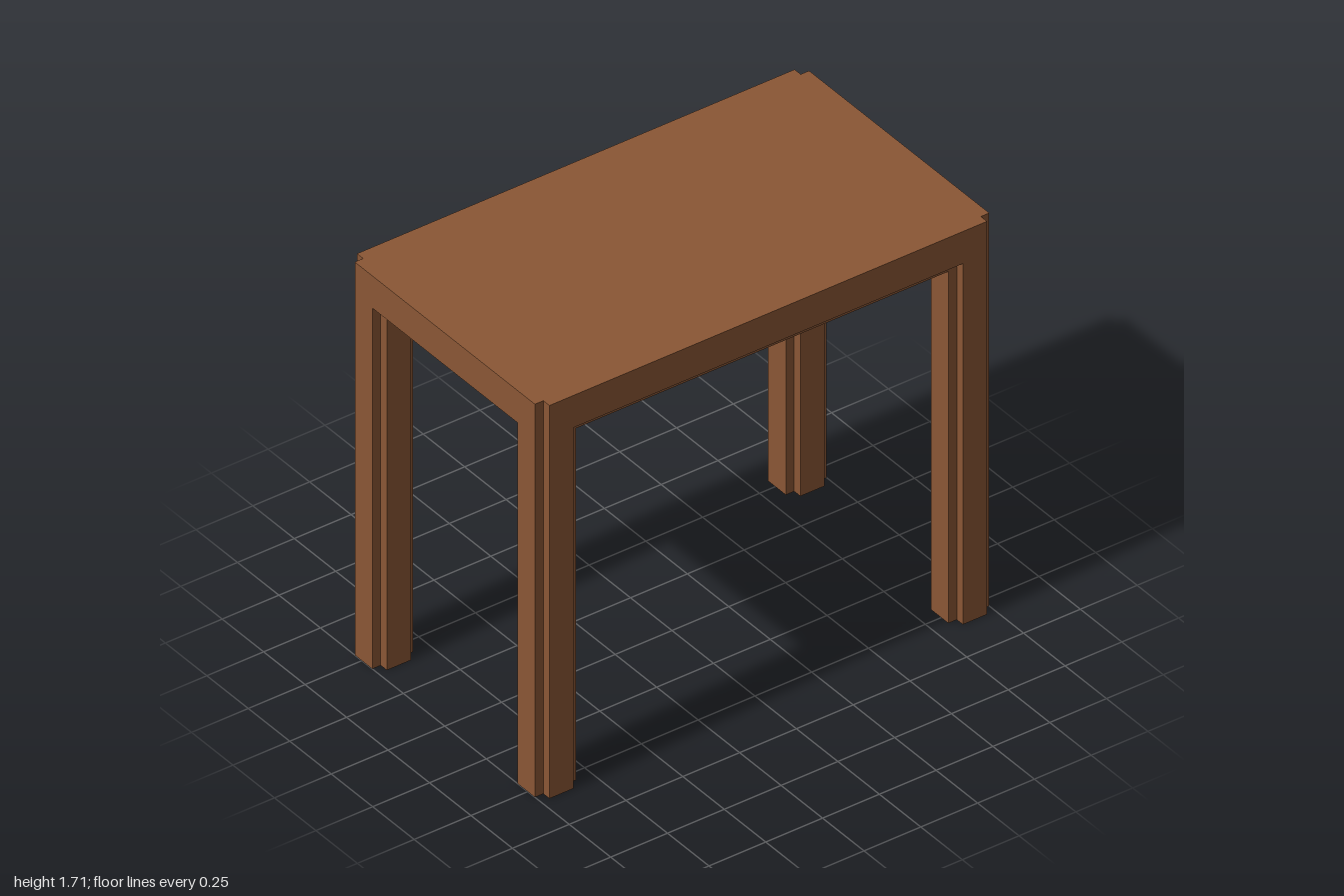
import * as THREE from 'three';

const W = 0.58, D = 1, H = 1.71;   // half width, half depth, height
const LEG = 0.18, NOTCH = 0.037;   // leg thickness and corner notch
const RAIL = 1.57, UNDER = 1.53;   // underside of the rim and of the inner panel

// Rectangle with a square notch cut from each corner, extruded upwards
function notchedBlock(hx, hz, y0, y1, material) {
  const a = hx - NOTCH, b = hz - NOTCH;
  const shape = new THREE.Shape([
    [a, -hz], [a, -b], [hx, -b], [hx, b], [a, b], [a, hz],
    [-a, hz], [-a, b], [-hx, b], [-hx, -b], [-a, -b], [-a, -hz],
  ].map(([x, y]) => new THREE.Vector2(x, y)));
  const geo = new THREE.ExtrudeGeometry(shape, { depth: y1 - y0, bevelEnabled: false });
  geo.rotateX(-Math.PI / 2).translate(0, y0, 0);
  return new THREE.Mesh(geo, material);
}

export function createModel() {
  const group = new THREE.Group();
  group.name = 'table';
  const wood = new THREE.MeshStandardMaterial({ color: 0x8b5735 });
  wood.name = 'brown wood';

  // Thick top with notched corners
  const top = notchedBlock(W, D, RAIL, H, wood);
  top.name = 'tableTop';
  group.add(top);

  // Slightly inset panel beneath the top
  const panel = new THREE.Mesh(
    new THREE.BoxGeometry(2 * (W - NOTCH), RAIL - UNDER, 2 * (D - NOTCH)), wood);
  panel.position.y = (RAIL + UNDER) / 2;
  panel.name = 'underPanel';
  group.add(panel);

  // Four cross-section legs
  for (const sx of [-1, 1]) {
    for (const sz of [-1, 1]) {
      const leg = notchedBlock(LEG / 2, LEG / 2, 0, RAIL, wood);
      leg.position.set(sx * (W - LEG / 2), 0, sz * (D - LEG / 2));
      leg.name = (sz > 0 ? 'front' : 'back') + (sx > 0 ? 'Left' : 'Right') + 'Leg';
      group.add(leg);
    }
  }
  return group;
}
